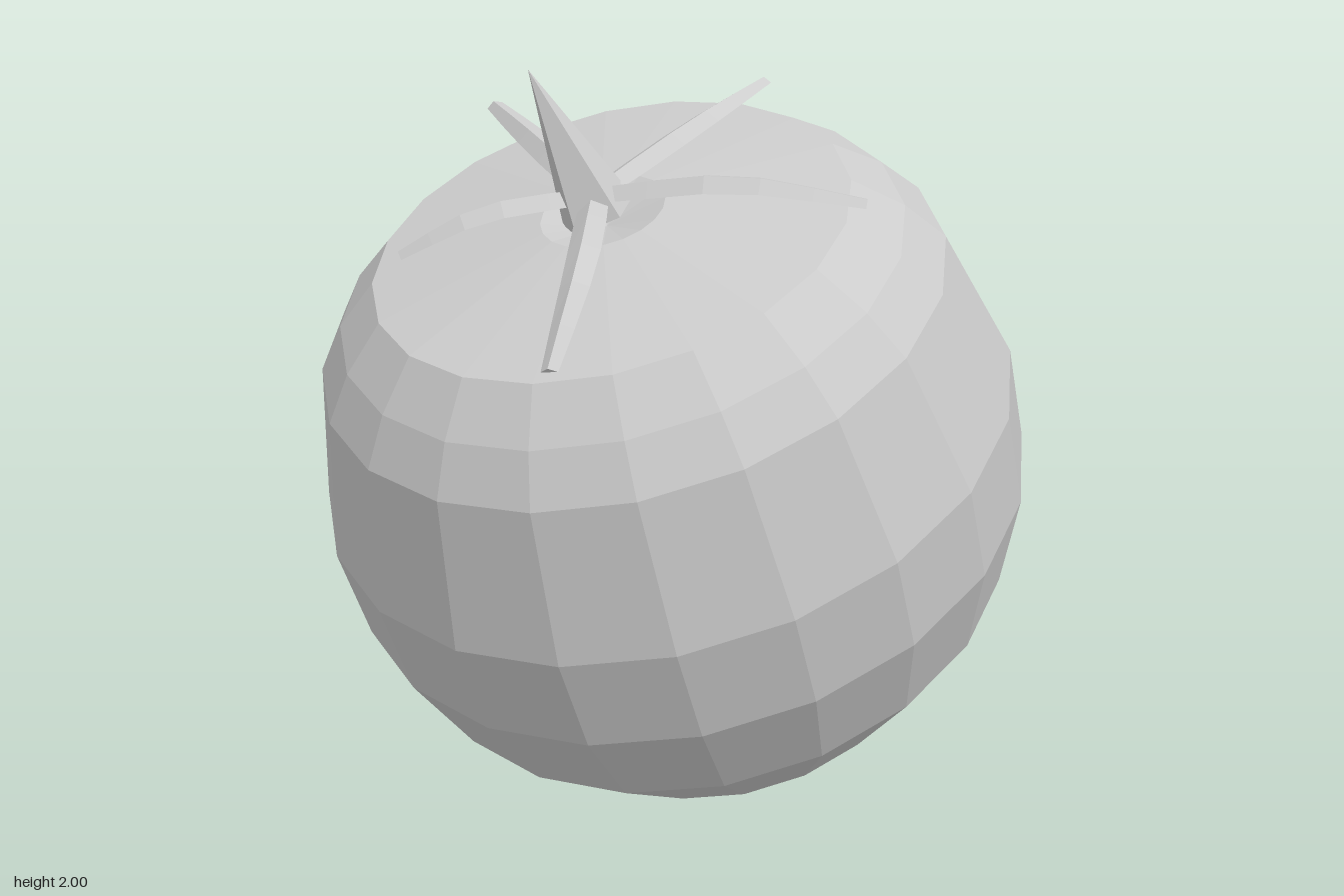
import * as THREE from 'three';

const material = new THREE.MeshStandardMaterial({ color: 0xcccccc, flatShading: true });
const TILT = Math.PI / 8;
const AXIS = new THREE.Vector3(0, Math.cos(TILT), Math.sin(TILT));

// Faceted fruit: a 20-sided lathe leaning towards the front
function makeFruit() {
  const profile = [
    [0, 0.02], [0.277, 0], [0.54, 0.12], [0.816, 0.437], [0.914, 0.71], [0.923, 0.983],
    [0.816, 1.37], [0.732, 1.485], [0.615, 1.59], [0.16, 1.655], [0, 1.61],
  ].map(([r, h]) => new THREE.Vector2(r, h));
  const fruit = new THREE.Mesh(new THREE.LatheGeometry(profile, 20), material);
  fruit.name = 'fruit';
  fruit.rotation.x = TILT;
  fruit.position.set(0, 0.108, -0.342);
  return fruit;
}

// Pointed stem between two points
function makeStem(base, tip) {
  const dir = tip.clone().sub(base);
  const stem = new THREE.Mesh(new THREE.ConeGeometry(0.1, dir.length(), 5), material);
  stem.name = 'stem';
  stem.position.copy(base).addScaledVector(dir, 0.5);
  stem.quaternion.setFromUnitVectors(new THREE.Vector3(0, 1, 0), dir.normalize());
  return stem;
}

// Narrow ridged leaf: a triangular section swept along a curve
function makeLeaf(points) {
  const curve = new THREE.CatmullRomCurve3(points.map(p => new THREE.Vector3(...p)));
  const steps = 5, positions = [], index = [];
  for (let i = 0; i <= steps; i++) {
    const t = i / steps;
    const p = curve.getPoint(t), tangent = curve.getTangent(t);
    const side = tangent.clone().cross(AXIS).normalize();
    const up = side.clone().cross(tangent);
    const w = 0.022 + 0.02 * Math.sin(Math.PI * Math.min(1, 0.25 + t * 0.75));
    for (const [s, h] of [[-w, 0], [0, w * 0.6], [w, 0]]) {
      const v = p.clone().addScaledVector(side, s).addScaledVector(up, h);
      positions.push(v.x, v.y, v.z);
    }
  }
  for (let i = 0; i < steps; i++) {
    for (let j = 0; j < 3; j++) {
      const a = i * 3 + j, b = i * 3 + (j + 1) % 3;
      index.push(a, b, b + 3, a, b + 3, a + 3);
    }
  }
  index.push(steps * 3, steps * 3 + 1, steps * 3 + 2);
  const geometry = new THREE.BufferGeometry();
  geometry.setAttribute('position', new THREE.Float32BufferAttribute(positions, 3));
  geometry.setIndex(index);
  geometry.computeVertexNormals();
  const leaf = new THREE.Mesh(geometry, material);
  leaf.name = 'leaf';
  return leaf;
}

export function createModel() {
  const model = new THREE.Group();
  model.name = 'tomato';
  model.add(makeFruit());

  // Stem and five leaves
  const crown = new THREE.Group();
  crown.name = 'crown';
  crown.add(makeStem(new THREE.Vector3(0, 1.63, 0.31), new THREE.Vector3(-0.1, 2, 0.45)));
  const root = [0, 1.68, 0.32];
  const leaves = [
    [root, [-0.3, 1.74, 0.16], [-0.58, 1.79, 0.01]],
    [root, [0.33, 1.73, 0.2], [0.61, 1.69, 0.04]],
    [root, [0.06, 1.8, 0.0], [0.08, 1.88, -0.3]],
    [root, [0.17, 1.58, 0.6], [0.26, 1.4, 0.83]],
    [root, [-0.2, 1.64, 0.52], [-0.36, 1.54, 0.64]],
  ];
  for (const points of leaves) crown.add(makeLeaf(points));
  model.add(crown);
  return model;
}
